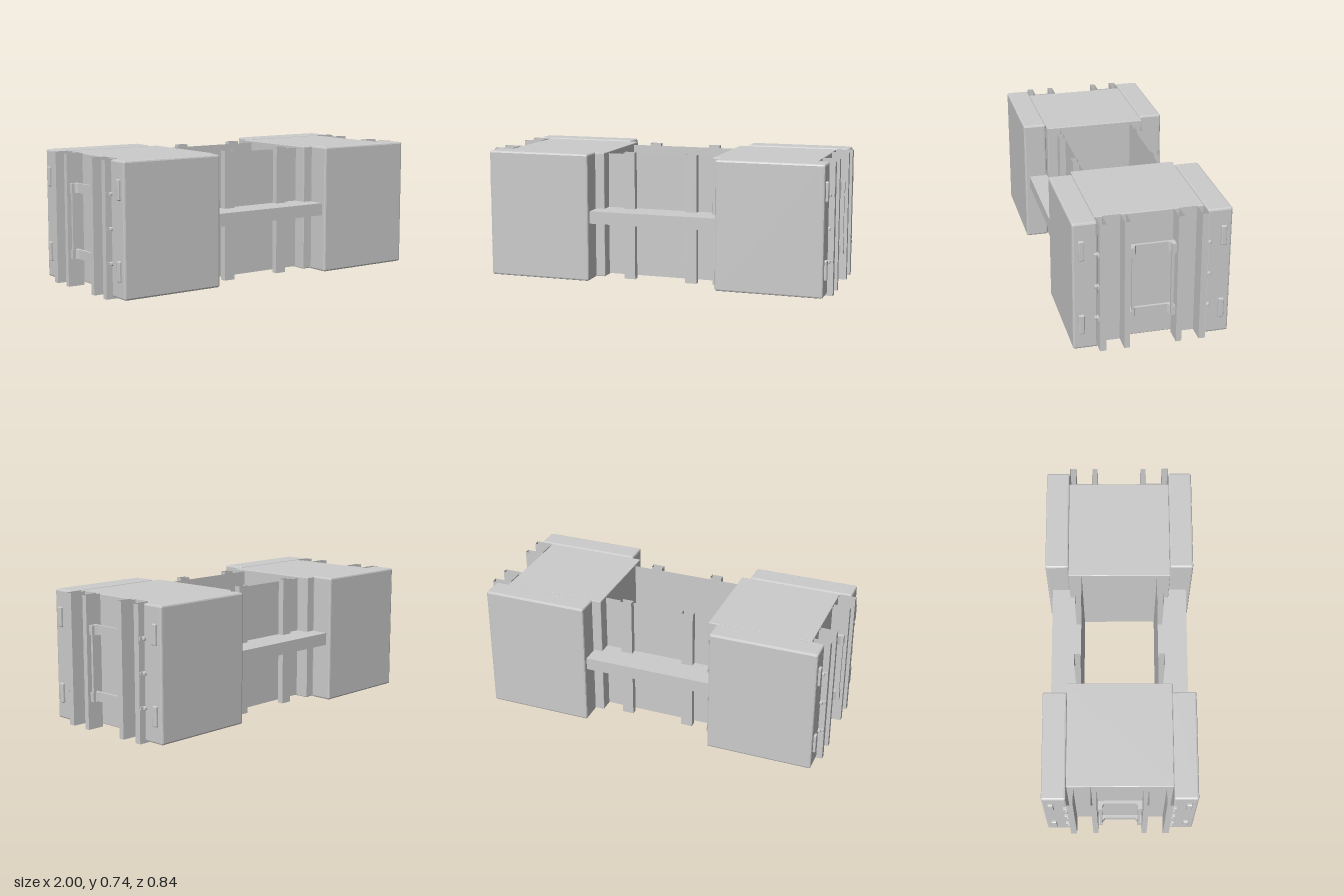
import * as THREE from 'three';
import { RoundedBoxGeometry } from 'three/addons/geometries/RoundedBoxGeometry.js';

const solid = new THREE.MeshStandardMaterial({ color: 0xcccccc, flatShading: true });
const thin = new THREE.MeshStandardMaterial({ color: 0xcccccc, flatShading: true, side: THREE.DoubleSide });

function add(parent, name, geometry, material = solid) {
  const mesh = new THREE.Mesh(geometry, material);
  mesh.name = name;
  parent.add(mesh);
  return mesh;
}

// Box given by its limits; a bevel chamfers all edges
function box(parent, name, [x0, x1], [y0, y1], [z0, z1], bevel = 0) {
  const size = [Math.abs(x1 - x0), Math.abs(y1 - y0), Math.abs(z1 - z0)];
  const geometry = bevel ? new RoundedBoxGeometry(...size, 1, bevel) : new THREE.BoxGeometry(...size);
  geometry.translate((x0 + x1) / 2, (y0 + y1) / 2, (z0 + z1) / 2);
  return add(parent, name, geometry);
}

// Upright folded sheet following a plan of [x, z] points
function sheet(parent, name, plan, y0, y1) {
  const positions = [];
  for (let i = 0; i < plan.length - 1; i++) {
    const [ax, az] = plan[i], [bx, bz] = plan[i + 1];
    positions.push(ax, y0, az, bx, y0, bz, bx, y1, bz, ax, y0, az, bx, y1, bz, ax, y1, az);
  }
  const geometry = new THREE.BufferGeometry();
  geometry.setAttribute('position', new THREE.Float32BufferAttribute(positions, 3));
  geometry.computeVertexNormals();
  return add(parent, name, geometry, thin);
}

// Bracket outlined in plan, opening outwards, extruded upwards
function handleBracket(parent, y0, y1) {
  const half = [[0.985, 0.122], [0.985, 0.098], [0.968, 0.098], [0.953, 0.086]];
  const outline = [[0.938, 0.122], ...half, ...half.map(([x, z]) => [x, -z]).reverse(), [0.938, -0.122]];
  const shape = new THREE.Shape(outline.map(([x, z]) => new THREE.Vector2(x, -z)));
  const geometry = new THREE.ExtrudeGeometry(shape, { depth: y1 - y0, bevelEnabled: false });
  geometry.rotateX(-Math.PI / 2).translate(0, y0, 0);
  add(parent, 'handleBracket', geometry);
}

function createEnd() {
  const end = new THREE.Group();
  box(end, 'coreBlock', [0.32, 0.9], [0.015, 0.73], [-0.288, 0.288], 0.004);

  for (const s of [1, -1]) {
    // Side slab with latches and hinge pins
    box(end, 'sideSlab', [0.37, 0.97], [0.012, 0.735], [s * 0.288, s * 0.42], 0.01);
    for (const y of [0.16, 0.585]) {
      box(end, 'latch', [0.96, 0.984], [y - 0.055, y + 0.055], [s * 0.36, s * 0.39], 0.005);
    }
    for (const y of [0.19, 0.373, 0.555]) {
      box(end, 'pinPlate', [0.955, 1], [y - 0.009, y + 0.009], [s * 0.286, s * 0.295]);
      box(end, 'pinHead', [0.965, 0.985], [y - 0.009, y + 0.009], [s * 0.29, s * 0.309], 0.004);
    }
    // Folded end channel with two raised ribs
    const plan = [[0.902, 0.285], [1, 0.285], [1, 0.25], [0.902, 0.25],
      [0.902, 0.155], [1, 0.155], [1, 0.125], [0.902, 0.125]];
    sheet(end, 'endChannel', plan.map(([x, z]) => [x, s * z]), 0, 0.732);
    box(end, 'handleUpright', [0.965, 0.983], [0.2, 0.525], [s * 0.098, s * 0.112]);
  }
  handleBracket(end, 0.155, 0.207);
  handleBracket(end, 0.52, 0.572);
  return end;
}

function createSide() {
  const side = new THREE.Group();
  sheet(side, 'wallPanel', [[-0.33, 0.213], [0.33, 0.213]], 0.02, 0.72);
  // Hollow upright ribs
  for (const x of [-0.183, 0.183]) {
    const a = x - 0.033, b = x + 0.033;
    sheet(side, 'wallRib', [[a, 0.215], [a, 0.25], [b, 0.25], [b, 0.215], [a, 0.215]], 0.002, 0.733);
  }
  box(side, 'rail', [-0.375, 0.375], [0.34, 0.41], [0.214, 0.393]);
  return side;
}

export function createModel() {
  const model = new THREE.Group();
  model.name = 'framedBlocks';
  // Each half repeats after a half turn
  [['left', 'front', 0], ['right', 'back', Math.PI]].forEach(([endName, sideName, turn]) => {
    const end = createEnd();
    end.name = endName + 'End';
    const side = createSide();
    side.name = sideName + 'Side';
    end.rotation.y = side.rotation.y = turn;
    model.add(end, side);
  });
  return model;
}
